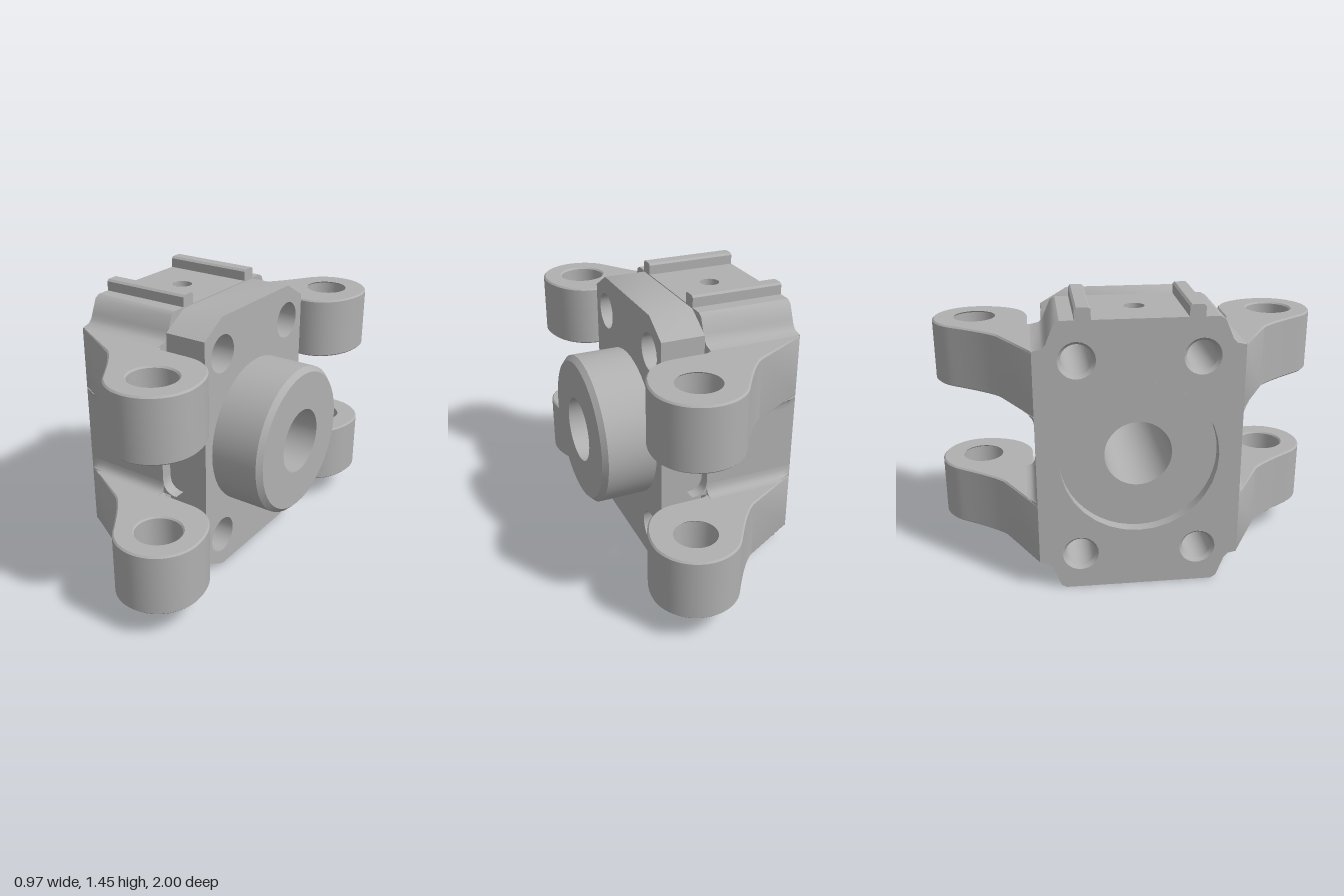
import * as THREE from 'three';
import { toCreasedNormals } from 'three/addons/utils/BufferGeometryUtils.js';

const BACK = -0.49, FRONT = -0.015, FLANGE = 0.205, TOP = 1.39, MID = 0.695;
const BOLTS = [[-0.295, 0.19], [0.295, 0.19], [-0.295, 1.2], [0.295, 1.2]];

export function createModel() {
  const model = new THREE.Group();
  const metal = new THREE.MeshStandardMaterial({ color: 0xb0b0b0, side: THREE.DoubleSide });
  metal.name = 'greyMetal';

  const add = (name, geometry, parent = model, crease = 0.55) => {
    const mesh = new THREE.Mesh(toCreasedNormals(geometry, crease), metal);
    mesh.name = name;
    parent.add(mesh);
    return mesh;
  };
  const polygon = (pts) => new THREE.Shape(pts.map(([x, y]) => new THREE.Vector2(x, y)));
  const punch = (shape, x, y, r) => shape.holes.push(new THREE.Path().absarc(x, y, r, 0, Math.PI * 2, true));
  const lathe = (pts, segments = 32) =>
    new THREE.LatheGeometry(pts.map(([r, y]) => new THREE.Vector2(r, y)), segments);
  const extrude = (shape, depth, extra = {}) =>
    new THREE.ExtrudeGeometry(shape, { depth, bevelEnabled: false, curveSegments: 16, ...extra });

  // Main block: end faces, wrapped sides, drilled top and bottom
  const block = new THREE.Group();
  block.name = 'block';
  model.add(block);
  const half = [[0.37, 0], [0.395, 0.015], [0.425, 0.09], [0.435, 0.118], [0.455, 0.14], [0.5, 0.15],
    [0.5, 1.25], [0.455, 1.26], [0.435, 1.28], [0.425, 1.305], [0.395, 1.375], [0.37, TOP]];
  const outline = [...half, ...half.map(([z, y]) => [-z, y]).reverse()];
  const face = polygon(outline);
  punch(face, 0, MID, 0.39);
  for (const [z, y] of BOLTS) punch(face, z, y, 0.09);
  add('blockBackFace', new THREE.ShapeGeometry(face, 16).rotateY(-Math.PI / 2).translate(BACK, 0, 0), block);
  add('blockFrontFace', new THREE.ShapeGeometry(face, 16).rotateY(Math.PI / 2).translate(FRONT, 0, 0), block);

  const pos = [];
  for (const s of [1, -1]) {
    for (let i = 0; i < half.length - 1; i++) {
      const [z0, y0] = half[i], [z1, y1] = half[i + 1];
      const a = [BACK, y0, s * z0], b = [FRONT, y0, s * z0], c = [FRONT, y1, s * z1], d = [BACK, y1, s * z1];
      const quad = s > 0 ? [a, b, c, a, c, d] : [a, c, b, a, d, c];
      pos.push(...quad.flat());
    }
  }
  const sides = new THREE.BufferGeometry();
  sides.setAttribute('position', new THREE.Float32BufferAttribute(pos, 3));
  add('blockSides', sides, block, 0.75);

  const plate = (r) => {
    const shape = polygon([[BACK, -0.37], [FRONT, -0.37], [FRONT, 0.37], [BACK, 0.37]]);
    punch(shape, -0.25, 0, r);
    return new THREE.ShapeGeometry(shape, 16);
  };
  add('blockTop', plate(0.05).rotateX(-Math.PI / 2).translate(0, TOP, 0), block);
  add('blockBottom', plate(0.125).rotateX(Math.PI / 2), block);
  add('topHole', lathe([[0.05, TOP], [0.05, 1.25], [0, 1.25]], 20).translate(-0.25, 0, 0), block);
  add('bottomHole', lathe([[0, 0.3], [0.115, 0.3], [0.115, 0.012], [0.125, 0]], 24).translate(-0.25, 0, 0), block);

  // Rails on top of the block
  for (const s of [-1, 1]) {
    const rail = polygon([[-0.038, -0.02], [0.038, -0.02], [0.038, 0.048], [0.028, 0.058], [-0.028, 0.058], [-0.038, 0.048]]);
    add('topRail', extrude(rail, FRONT - BACK).rotateY(Math.PI / 2).translate(BACK, TOP, s * 0.264));
  }

  // Front flange with clipped corners
  const flange = polygon([[-0.3, 0.01], [0.3, 0.01], [0.44, 0.09], [0.44, 1.302],
    [0.3, 1.385], [-0.3, 1.385], [-0.44, 1.302], [-0.44, 0.09]]);
  punch(flange, 0, MID, 0.3);
  for (const [z, y] of BOLTS) punch(flange, z, y, 0.095);
  add('flange', extrude(flange, FLANGE - FRONT).rotateY(Math.PI / 2).translate(FRONT, 0, 0));

  // Boss, through bore and rear recess turned in one profile
  add('bossAndBore', lathe([[0.385, FLANGE], [0.385, 0.455], [0.36, 0.48], [0.167, 0.48],
    [0.167, -0.43], [0.39, -0.43], [0.39, BACK]], 48).rotateZ(-Math.PI / 2).translate(0, MID, 0));

  // Bolt holes through the block
  for (const [z, y] of BOLTS) {
    add('boltHole', lathe([[0.095, FRONT], [0.075, FRONT], [0.075, -0.472], [0.09, BACK]], 24)
      .rotateZ(-Math.PI / 2).translate(0, y, z));
  }

  // Hinge arms, each with an eye at its end
  const armShape = (s) => {
    const shape = new THREE.Shape();
    shape.moveTo(FRONT, 0.45);
    shape.lineTo(FRONT, 0.475);
    shape.quadraticCurveTo(FRONT, 0.512, 0.025, 0.512);
    shape.lineTo(0.18, 0.512);
    shape.bezierCurveTo(0.31, 0.512, 0.394, 0.64, 0.394, 0.783);
    shape.absarc(0.177, 0.783, 0.217, 0, 2.557, false);
    shape.quadraticCurveTo(-0.14, 0.694, -0.2, 0.66);
    shape.lineTo(BACK, 0.5);
    const flipped = new THREE.Shape(shape.getPoints(14).map((p) => new THREE.Vector2(p.x, s * p.y)));
    punch(flipped, 0.177, s * 0.783, 0.115);
    return flipped;
  };
  const bevel = 0.008;
  for (const s of [-1, 1]) {
    for (const y of [0.15, 0.93]) {
      const arm = extrude(armShape(s), 0.32 - 2 * bevel, {
        bevelEnabled: true, bevelThickness: bevel, bevelSize: bevel, bevelOffset: -bevel, bevelSegments: 1,
      });
      add('hingeArm', arm.translate(0, 0, bevel - 0.32).rotateX(Math.PI / 2).translate(0, y, 0));
    }

    // Fillets blending the inner arm faces into the block
    for (const [y, d] of [[0.47, 1], [0.93, -1]]) {
      const along = new THREE.Shape();
      along.moveTo(-s * 0.48, y);
      along.lineTo(-s * 0.55, y);
      along.quadraticCurveTo(-s * 0.5, y, -s * 0.5, y + d * 0.06);
      along.lineTo(-s * 0.48, y + d * 0.06);
      const g = extrude(along, FRONT - BACK, { steps: 12, curveSegments: 6 })
        .rotateY(Math.PI / 2).translate(BACK, 0, 0);
      const p = g.attributes.position;
      for (let i = 0; i < p.count; i++) {
        p.setZ(i, s * Math.min(s * p.getZ(i), 0.5 + 0.55 * (p.getX(i) - BACK)));
      }
      add('armFillet', g);

      const corner = new THREE.Shape();
      corner.moveTo(-0.03, y);
      corner.lineTo(0.065, y);
      corner.quadraticCurveTo(FRONT, y, FRONT, y + d * 0.08);
      corner.lineTo(-0.03, y + d * 0.08);
      add('cornerFillet', extrude(corner, 0.06, { curveSegments: 6 }).translate(0, 0, s > 0 ? 0.44 : -0.5));
    }
  }
  return model;
}
